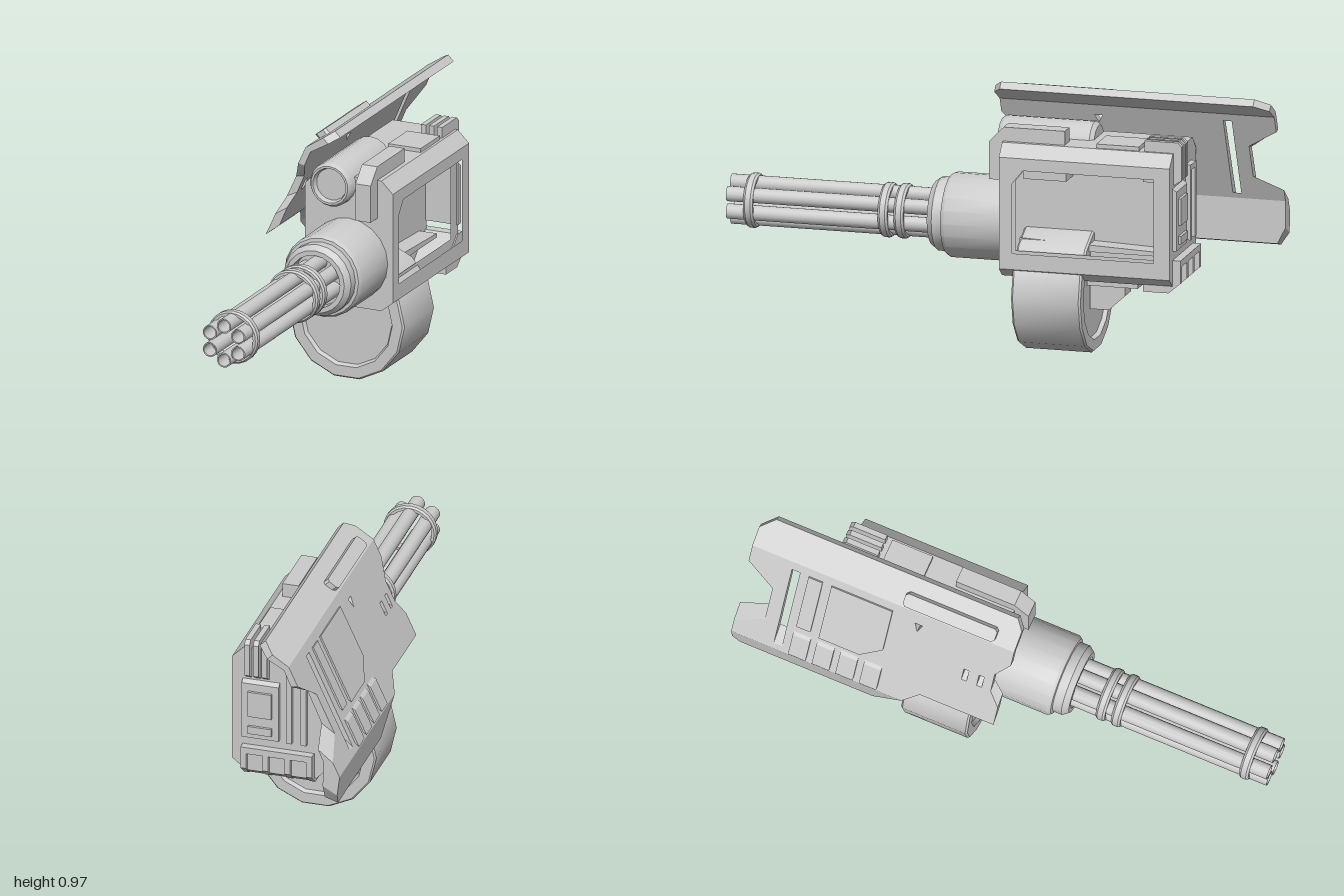
import * as THREE from 'three';
import { toCreasedNormals } from 'three/addons/utils/BufferGeometryUtils.js';

const material = new THREE.MeshStandardMaterial({ color: 0xcccccc });

function mesh(name, geometry, crease = 0.6) {
  const m = new THREE.Mesh(toCreasedNormals(geometry, crease), material);
  m.name = name;
  return m;
}

function box(name, x0, x1, y0, y1, z0, z1) {
  const g = new THREE.BoxGeometry(x1 - x0, y1 - y0, z1 - z0);
  return mesh(name, g.translate((x0 + x1) / 2, (y0 + y1) / 2, (z0 + z1) / 2));
}

// Turned part along z; profile is [radius, z] from back to front
function turned(name, x, y, profile, sides, start = 0) {
  const g = new THREE.LatheGeometry(profile.map(p => new THREE.Vector2(...p)), sides, start);
  return mesh(name, g.rotateX(Math.PI / 2).translate(x, y, 0));
}

function shapeOf(points, holes = []) {
  const v = list => list.map(p => new THREE.Vector2(...p));
  const s = new THREE.Shape(v(points));
  s.holes = holes.map(h => new THREE.Path(v(h)));
  return s;
}

// Side profile in [z, y], extruded across x
function sideGeometry(points, x0, x1, holes = []) {
  const flip = list => list.map(([z, y]) => [-z, y]);
  const g = new THREE.ExtrudeGeometry(shapeOf(flip(points), holes.map(flip)), { depth: x1 - x0, bevelEnabled: false });
  return g.rotateY(Math.PI / 2).translate(x0, 0, 0);
}
const side = (name, points, x0, x1, holes) => mesh(name, sideGeometry(points, x0, x1, holes));

// Rectangle in [z, y]
const rect = (z0, z1, y0, y1) => [[z0, y0], [z1, y0], [z1, y1], [z0, y1]];

// Shield sections: [x, y] of the outer and inner faces at the lower and upper fold
const sections = {
  lower: { outer: [[-0.247, 0.365], [-0.262, 0.485]], inner: [[-0.197, 0.38], [-0.2, 0.54]] },
  middle: { outer: [[-0.262, 0.485], [-0.07, 0.905]], inner: [[-0.2, 0.54], [-0.052, 0.888]] },
  upper: { outer: [[-0.07, 0.905], [0.033, 0.972]], inner: [[-0.052, 0.888], [0.055, 0.95]] },
};

// Tilts a side profile onto a shield section; w0..w1 runs from outer to inner face
function shieldPart(name, section, points, w0 = 0, w1 = 1, holes = []) {
  const { outer, inner } = sections[section];
  const g = sideGeometry(points, w0, w1, holes);
  const p = g.attributes.position;
  const mix = THREE.MathUtils.lerp;
  for (let i = 0; i < p.count; i++) {
    const w = p.getX(i);
    const t = (p.getY(i) - outer[0][1]) / (outer[1][1] - outer[0][1]);
    const at = k => mix(mix(outer[0][k], outer[1][k], t), mix(inner[0][k], inner[1][k], t), w);
    p.setXYZ(i, at(0), at(1), p.getZ(i));
  }
  return mesh(name, g, 0.3);
}

function createBarrels() {
  const group = new THREE.Group();
  group.name = 'barrelCluster';
  const cx = 0.065, cy = 0.475;
  for (let i = 0; i < 6; i++) {
    const a = Math.PI / 2 + i * Math.PI / 3;
    group.add(turned('barrel', cx + 0.065 * Math.cos(a), cy + 0.065 * Math.sin(a),
      [[0.028, 0.15], [0.028, 1], [0.023, 1], [0.023, 0.85], [0, 0.85]], 14));
  }
  // Clamping rings around the barrels
  for (const z of [0.35, 0.41, 0.915]) {
    group.add(turned('barrelRing', cx, cy, [[0.084, z - 0.018], [0.094, z - 0.018], [0.1, z - 0.01],
      [0.1, z + 0.01], [0.094, z + 0.018], [0.084, z + 0.018], [0.084, z - 0.018]], 24));
  }
  group.add(turned('barrelHousing', cx, cy, [[0.155, -0.06], [0.155, 0.165], [0.147, 0.178], [0.135, 0.18],
    [0.135, 0.215], [0.118, 0.237], [0.1, 0.237], [0.1, 0.19], [0, 0.19]], 20));
  return group;
}

function createBody() {
  const group = new THREE.Group();
  group.name = 'body';
  const core = new THREE.ExtrudeGeometry(shapeOf([[-0.08, 0.295], [0.07, 0.295], [0.07, 0.79], [-0.065, 0.79],
    [-0.11, 0.74], [-0.11, 0.33]]), { depth: 0.64, bevelEnabled: false });
  group.add(mesh('bodyCore', core.translate(0, 0, -0.69)));

  // Side frame around the deep recess, with chamfered long edges
  const outline = rect(-0.69, -0.05, 0.295, 0.79);
  const opening = [[-0.14, 0.7], [-0.63, 0.7], [-0.63, 0.39], [-0.1, 0.39], [-0.1, 0.65]];
  group.add(side('recessFrame', outline, 0.07, 0.195, [opening]));
  const rim = sideGeometry(outline, 0.195, 0.24, [opening]);
  const p = rim.attributes.position;
  for (let i = 0; i < p.count; i++) {
    if (p.getX(i) < 0.23) continue;
    if (p.getY(i) > 0.78) p.setY(i, 0.745);
    if (p.getY(i) < 0.3) p.setY(i, 0.33);
  }
  group.add(mesh('recessRim', rim));
  group.add(side('recessLedge', [[-0.1, 0.39], [-0.63, 0.39], [-0.63, 0.405], [-0.1, 0.425]], 0.07, 0.14));
  group.add(box('recessBlock', 0.07, 0.16, 0.65, 0.7, -0.28, -0.12));
  group.add(box('recessCorner', 0.07, 0.2, 0.68, 0.7, -0.63, -0.58));

  // Top plate, cooling fins and folded front strap
  group.add(box('topPlate', 0.055, 0.185, 0.78, 0.805, -0.56, -0.4));
  for (const x of [0.1, 0.132, 0.165]) {
    group.add(side('coolingFin', [[-0.58, 0.78], [-0.58, 0.83], [-0.705, 0.83], [-0.72, 0.815], [-0.72, 0.69],
      [-0.69, 0.67], [-0.68, 0.78]], x, x + 0.02));
  }
  group.add(side('frontStrap', [[-0.05, 0.645], [0.005, 0.645], [0.005, 0.785], [-0.05, 0.842], [-0.28, 0.842],
    [-0.28, 0.78], [-0.05, 0.78]], 0.117, 0.178));

  // Rear details
  group.add(side('rearPanel', [[-0.68, 0.43], [-0.705, 0.43], [-0.705, 0.65], [-0.68, 0.67]], 0.06, 0.2));
  group.add(box('rearPanelInset', 0.085, 0.175, 0.52, 0.62, -0.715, -0.7));
  group.add(box('rearPanelBar', 0.085, 0.175, 0.45, 0.48, -0.715, -0.7));
  for (const x of [-0.045, 0.01]) group.add(box('rearRail', x, x + 0.02, 0.43, 0.7, -0.71, -0.68));
  group.add(box('rearStrip', -0.045, 0.03, 0.69, 0.71, -0.71, -0.68));
  group.add(side('rearFoot', [[-0.58, 0.3], [-0.58, 0.272], [-0.67, 0.272], [-0.7, 0.295], [-0.7, 0.395],
    [-0.68, 0.395]], -0.07, 0.2));
  group.add(box('rearFootLintel', -0.07, 0.2, 0.37, 0.395, -0.72, -0.68));
  for (let i = 0; i < 4; i++) {
    const x = -0.07 + i * 0.083;
    group.add(side('rearFootRib', [[-0.66, 0.272], [-0.675, 0.272], [-0.72, 0.31], [-0.72, 0.38], [-0.68, 0.38]], x, x + 0.021));
  }

  // Underside catch
  group.add(box('underPlate', -0.03, 0.13, 0.262, 0.3, -0.54, -0.35));
  group.add(side('underCatch', [[-0.35, 0.265], [-0.35, 0.165], [-0.42, 0.165], [-0.48, 0.22], [-0.48, 0.265]], 0.01, 0.09));
  return group;
}

function createShield() {
  const group = new THREE.Group();
  group.name = 'sideShield';
  group.add(shieldPart('shieldLower', 'lower', [[-0.33, 0.485], [-0.45, 0.365], [-0.97, 0.365], [-1, 0.41], [-1, 0.485]]));
  group.add(shieldPart('shieldMiddle', 'middle', [[0.02, 0.545], [-0.27, 0.545], [-0.33, 0.485], [-1, 0.485],
    [-1, 0.54], [-0.89, 0.6], [-0.89, 0.75], [-1, 0.83], [-1, 0.905], [0.03, 0.905], [0.03, 0.84], [-0.02, 0.77],
    [-0.02, 0.69], [0.02, 0.63]], 0, 1, [
    rect(-0.837, -0.805, 0.51, 0.87),
    [[-0.35, 0.855], [-0.32, 0.855], [-0.335, 0.82]],
    rect(-0.135, -0.115, 0.69, 0.74), rect(-0.075, -0.055, 0.69, 0.74),
  ]));
  group.add(shieldPart('shieldUpper', 'upper', [[0.03, 0.905], [-1, 0.905], [-1, 0.945], [-0.95, 0.972], [0, 0.972], [0.03, 0.95]]));

  // Raised plates on the outer face
  group.add(shieldPart('shieldPlate', 'middle', [[-0.68, 0.63], [-0.52, 0.63], [-0.44, 0.69], [-0.44, 0.87], [-0.68, 0.87]], -0.25, 0.1));
  group.add(shieldPart('shieldStrip', 'middle', rect(-0.77, -0.715, 0.64, 0.87), -0.25, 0.1));
  for (let i = 0; i < 4; i++) {
    const z = -0.775 + i * 0.093;
    group.add(shieldPart('shieldTile', 'middle', rect(z, z + 0.068, 0.51, 0.6), -0.25, 0.1));
  }
  group.add(shieldPart('shieldRidge', 'upper', [[-0.41, 0.918], [-0.4, 0.912], [-0.06, 0.912], [-0.05, 0.918],
    [-0.05, 0.935], [-0.06, 0.94], [-0.4, 0.94], [-0.41, 0.935]], -0.8, 0.1));
  return group;
}

export function createModel() {
  const model = new THREE.Group();
  model.name = 'rotaryGun';
  model.add(createBody(), createBarrels(), createShield());

  // Ammunition drum with a recessed disc on both faces
  model.add(turned('ammoDrum', 0.03, 0.225, [[0, -0.345], [0.176, -0.345], [0.184, -0.36], [0.224, -0.36],
    [0.23, -0.353], [0.23, -0.107], [0.224, -0.1], [0.184, -0.1], [0.176, -0.115], [0, -0.115]], 14, Math.PI / 2));

  // Cylinder on the upper edge with a recessed front lens
  model.add(turned('topCylinder', 0.01, 0.76, [[0, -0.36], [0.07, -0.36], [0.083, -0.345], [0.083, -0.015],
    [0.074, 0], [0.066, 0], [0.06, -0.02], [0, -0.02]], 18));
  return model;
}
